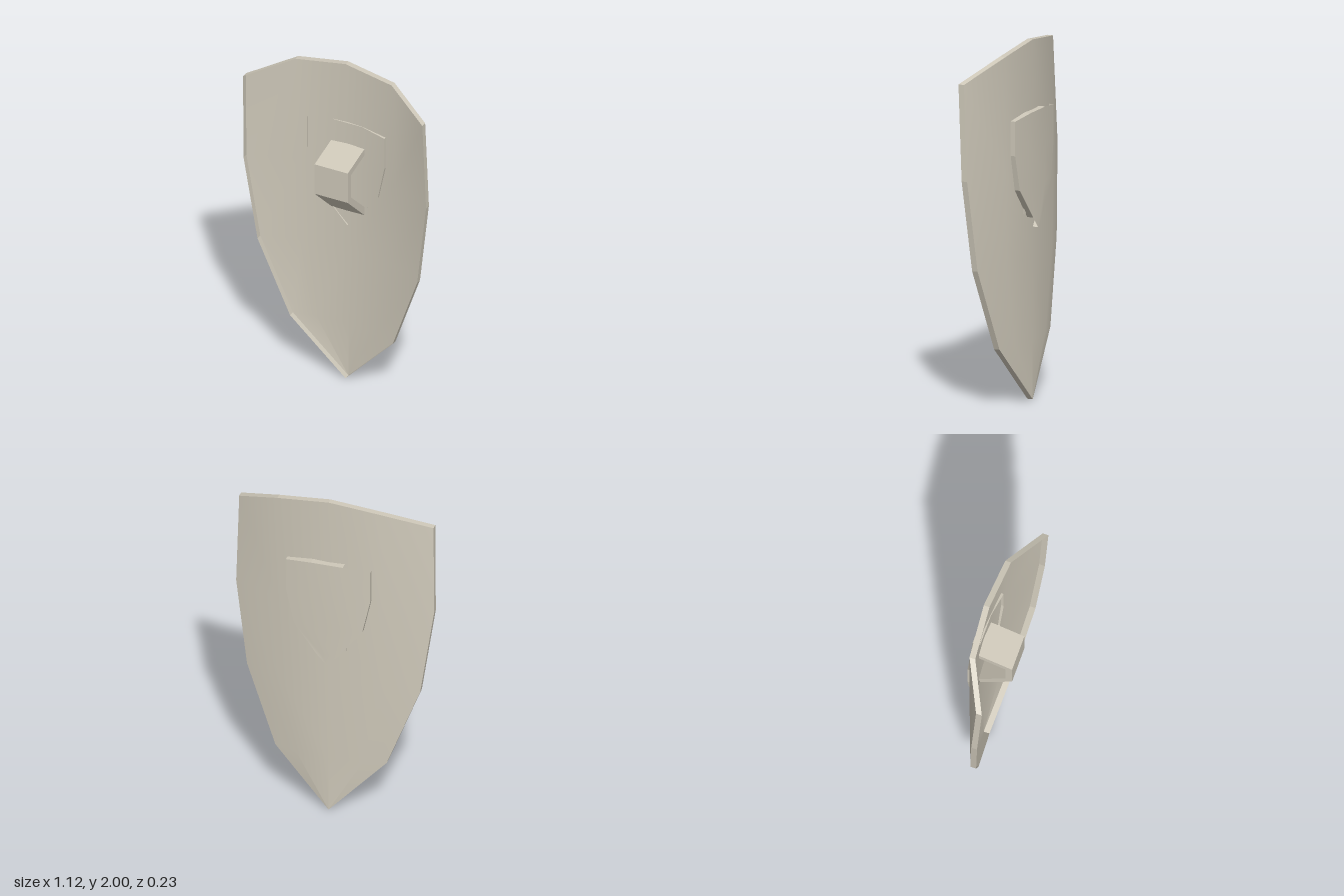
import * as THREE from 'three';

// Half row from the centre outwards -> full row from -x to +x
const mirrorRow = half => [
  ...half.slice(1).reverse().map(([x, y, z]) => [-x, y, z]),
  ...half,
];

// Smooth sheet facing -z from equal-length rows; the first row is a single tip point
function sheet(rows) {
  const index = [], n = rows[0].length;
  for (let r = 0; r < rows.length - 1; r++) {
    for (let c = 0; c < n - 1; c++) {
      const a = r * n + c, b = a + 1, d = a + n, e = d + 1;
      if (r > 0) index.push(a, e, b);
      index.push(a, d, e);
    }
  }
  const g = new THREE.BufferGeometry();
  g.setAttribute('position', new THREE.Float32BufferAttribute(rows.flat(2), 3));
  g.setIndex(index);
  g.computeVertexNormals();
  return g;
}

// Flat quads standing on a counter-clockwise loop; skip lists missing segments
function wall(loop, depth, skip = []) {
  const pos = [];
  loop.forEach((p, i) => {
    if (skip.includes(i)) return;
    const q = loop[(i + 1) % loop.length];
    const p2 = [p[0], p[1], p[2] + depth], q2 = [q[0], q[1], q[2] + depth];
    pos.push(...p, ...q, ...q2, ...p, ...q2, ...p2);
  });
  const g = new THREE.BufferGeometry();
  g.setAttribute('position', new THREE.Float32BufferAttribute(pos, 3));
  g.computeVertexNormals();
  return g;
}

// Counter-clockwise border of a stack of rows, starting at the tip
function border(rows) {
  const middle = rows.slice(1, -1);
  return [
    rows[0][0],
    ...middle.map(r => r[r.length - 1]),
    ...rows[rows.length - 1].slice().reverse(),
    ...middle.map(r => r[0]).reverse(),
  ];
}

export function createModel() {
  const model = new THREE.Group();
  const mat = new THREE.MeshStandardMaterial({ color: 0xcec8b9, side: THREE.DoubleSide });
  mat.name = 'bone';
  const add = (name, geometry, parent = model) => {
    const m = new THREE.Mesh(geometry, mat);
    m.name = name;
    parent.add(m);
  };
  const addShell = (name, rows, depth, skip) => {
    const shell = new THREE.Group();
    shell.name = name;
    model.add(shell);
    add(name + 'Face', sheet(rows), shell);
    add(name + 'Rim', wall(border(rows), depth, skip), shell);
  };

  // Curved shield board, open on the hollow side, with a rim turned forwards
  const back = -0.083;
  const boardRows = [
    [[0, 0, back], [0, 0, back], [0, 0, back]],
    [[0, 0.335, back], [0.19, 0.335, -0.067], [0.315, 0.335, -0.036]],
    [[0, 0.8, back], [0.28, 0.8, -0.063], [0.49, 0.8, 0.011]],
    [[0, 1.31, back], [0.295, 1.31, -0.062], [0.56, 1.31, 0.04]],
    [[0, 2, back], [0.295, 1.96, -0.062], [0.55, 1.845, 0.064]],
  ].map(mirrorRow);
  addShell('board', boardRows, 0.033);

  // Small raised shield on the outer side, with two gaps in its border
  const crestRows = [
    [[0, 0.96, -0.115], [0, 0.96, -0.115]],
    [[0.03, 1.025, -0.115], [0.06, 1.025, -0.115]],
    [[0.09, 1.2, -0.115], [0.195, 1.2, -0.1]],
    [[0.09, 1.4, -0.115], [0.238, 1.4, -0.093]],
    [[0.09, 1.612, -0.115], [0.238, 1.592, -0.093]],
  ].map(half => [...half.slice().reverse().map(([x, y, z]) => [-x, y, z]), ...half]);
  addShell('crest', crestRows, 0.042, [0, 6]);

  // Bent strap handle, open at the sides
  const strap = new THREE.Shape([
    [-0.082, 1.048], [0.115, 1.235], [0.115, 1.422], [-0.082, 1.475],
    [-0.082, 1.435], [0.078, 1.392], [0.078, 1.25], [-0.082, 1.1],
  ].map(p => new THREE.Vector2(...p)));
  const strapGeo = new THREE.ExtrudeGeometry(strap, { depth: 0.204, bevelEnabled: false });
  strapGeo.translate(0, 0, -0.102).rotateY(-Math.PI / 2);
  add('handle', strapGeo);

  return model;
}
